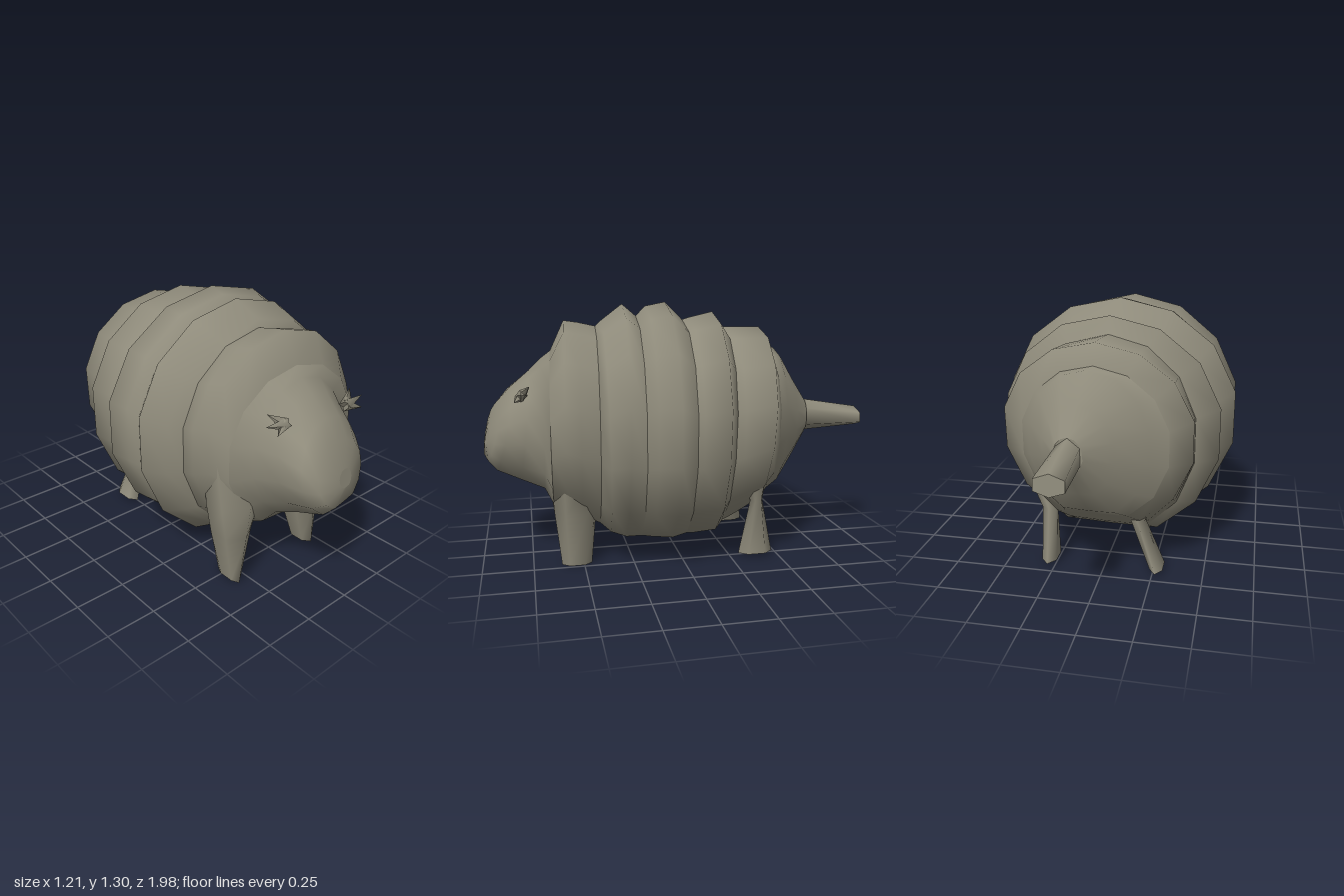
import * as THREE from 'three';

const hide = new THREE.MeshStandardMaterial({ color: 0x8f8b7b, side: THREE.DoubleSide });
hide.name = 'grey hide';

// Surface through a list of equally long rings of points; caps lists the ends to close (0 first, 1 last)
function loft(name, rings, caps = []) {
  const n = rings[0].length;
  const pos = [], index = [];
  const put = (p) => pos.push(p.x, p.y, p.z);
  rings.forEach((r) => r.forEach(put));
  for (let i = 0; i < rings.length - 1; i++) {
    for (let j = 0; j < n; j++) {
      const a = i * n + j, b = i * n + (j + 1) % n;
      index.push(a, a + n, b, b, a + n, b + n);
    }
  }
  // The caps have their own vertices so that their rims stay sharp
  caps.forEach((end) => {
    const r = end ? rings[rings.length - 1] : rings[0];
    const c = pos.length / 3;
    put(r.reduce((s, p) => s.add(p), new THREE.Vector3()).divideScalar(n));
    r.forEach(put);
    for (let j = 0; j < n; j++) {
      const a = c + 1 + j, b = c + 1 + (j + 1) % n;
      if (end) index.push(c, b, a);
      else index.push(c, a, b);
    }
  });
  const g = new THREE.BufferGeometry();
  g.setAttribute('position', new THREE.Float32BufferAttribute(pos, 3));
  g.setIndex(index);
  g.computeVertexNormals();
  const mesh = new THREE.Mesh(g, hide);
  mesh.name = name;
  return mesh;
}

// Upright ring with a flattened underside: z at top and bottom, x range, y range; skew slants it across x
function upright([zTop, zBot, x0, x1, y0, y1, skew = 0.06], sides = 14) {
  return Array.from({ length: sides }, (_, j) => {
    const a = (j + 0.5) / sides * Math.PI * 2;
    const s = Math.sin(a) < 0 ? Math.max(-1, Math.sin(a) * 1.1) : Math.sin(a);
    const x = (x0 + x1) / 2 + Math.cos(a) * (x1 - x0) / 2;
    const y = (y0 + y1) / 2 + s * (y1 - y0) / 2;
    return new THREE.Vector3(x, y, zBot + (zTop - zBot) * (s + 1) / 2 + skew * x);
  });
}

// Level ring for legs: y, x range, z range
function level([y, x0, x1, z0, z1], sides = 6) {
  return Array.from({ length: sides }, (_, j) => {
    const a = (j + 0.5) / sides * Math.PI * 2;
    return new THREE.Vector3(
      (x0 + x1) / 2 + Math.cos(a) * (x1 - x0) / 2, y,
      (z0 + z1) / 2 - Math.sin(a) * (z1 - z0) / 2);
  });
}

export function createModel() {
  const model = new THREE.Group();
  model.name = 'armouredAnimal';

  // Seams shared by neighbouring parts, front to back
  const seams = [
    [0.63, 0.63, -0.40, 0.38, 0.31, 1.07], [0.40, 0.40, -0.47, 0.42, 0.20, 1.19],
    [0.19, 0.19, -0.56, 0.51, 0.13, 1.24], [-0.05, -0.04, -0.52, 0.54, 0.14, 1.22],
    [-0.27, -0.24, -0.44, 0.44, 0.18, 1.18], [-0.50, -0.48, -0.34, 0.39, 0.34, 1.08],
  ];

  // Armour bands: each swells out between its two seams
  const swells = [
    [[0.56, 0.56, -0.46, 0.43, 0.28, 1.22], [0.49, 0.49, -0.49, 0.45, 0.25, 1.21]],
    [[0.37, 0.35, -0.53, 0.53, 0.17, 1.22], [0.26, 0.27, -0.61, 0.53, 0.13, 1.30]],
    [[0.14, 0.14, -0.59, 0.56, 0.13, 1.29], [0.04, 0.04, -0.62, 0.62, 0.13, 1.31]],
    [[-0.08, -0.07, -0.52, 0.55, 0.14, 1.23], [-0.21, -0.19, -0.56, 0.57, 0.15, 1.26]],
    [[-0.30, -0.29, -0.44, 0.46, 0.21, 1.18], [-0.46, -0.41, -0.45, 0.50, 0.29, 1.18]],
  ];
  swells.forEach((s, i) => model.add(
    loft('armourBand' + (i + 1), [seams[i], ...s, seams[i + 1]].map((r) => upright(r)))));

  // Rump tapering to the root of the tail
  model.add(loft('rump', [
    seams[5], [-0.54, -0.54, -0.25, 0.34, 0.38, 1.07],
    [-0.62, -0.62, -0.10, 0.25, 0.50, 0.93], [-0.70, -0.70, 0.03, 0.17, 0.63, 0.80],
  ].map((r) => upright(r)), [1]));

  // Tail
  model.add(loft('tail', [
    [-0.68, -0.68, 0.035, 0.165, 0.63, 0.80, 0],
    [-0.99, -1.0, 0.02, 0.18, 0.65, 0.75, 0],
  ].map((r) => upright(r, 6)), [1]));

  // Head swelling out of the first band, with a blunt snout turned to one side
  model.add(loft('head', [
    [0.945, 0.965, -0.07, 0.03, 0.60, 0.68, -0.17], [0.90, 0.965, -0.21, 0.15, 0.53, 0.80, -0.17],
    [0.83, 0.92, -0.25, 0.19, 0.48, 0.89, -0.12], [0.74, 0.80, -0.27, 0.22, 0.43, 0.97, -0.03],
    [0.68, 0.68, -0.32, 0.26, 0.38, 1.03, 0], seams[0],
  ].map((r) => upright(r)), [0]));

  // Front legs, tapering wedges out of the first band
  model.add(loft('rightFrontLeg', [
    [0.70, -0.44, -0.22, 0.44, 0.60], [0.45, -0.44, -0.14, 0.43, 0.65],
    [0.28, -0.40, -0.21, 0.43, 0.64], [0.01, -0.335, -0.295, 0.46, 0.61],
  ].map((r) => level(r)), [1]));
  model.add(loft('leftFrontLeg', [
    [0.70, 0.18, 0.40, 0.44, 0.60], [0.45, 0.05, 0.34, 0.43, 0.65],
    [0.28, 0.07, 0.27, 0.43, 0.64], [0.01, 0.17, 0.24, 0.46, 0.61],
  ].map((r) => level(r)), [1]));

  // Hind legs: wedge-shaped thigh, pinched ankle, flared foot
  model.add(loft('leftHindLeg', [
    [0.56, 0.28, 0.44, -0.42, -0.24], [0.31, 0.24, 0.32, -0.415, -0.35],
    [0.03, 0.24, 0.325, -0.47, -0.29],
  ].map((r) => level(r)), [1]));
  model.add(loft('rightHindLeg', [
    [0.54, -0.32, -0.14, -0.42, -0.24], [0.28, -0.21, -0.13, -0.415, -0.35],
    [0.03, -0.305, -0.23, -0.47, -0.29],
  ].map((r) => level(r)), [1]));

  // Ears: small spikes spreading from the sides of the head
  for (const [name, s, x, y, z] of [['leftEar', 1, 0.17, 0.87, 0.78], ['rightEar', -1, -0.21, 0.89, 0.76]]) {
    const ear = new THREE.Group();
    ear.name = name;
    for (const [tilt, turn, len] of [[-1.4, 0, 0.12], [-1.0, 0.5, 0.10], [-1.8, -0.4, 0.09]]) {
      const g = new THREE.ConeGeometry(0.03, len, 4).translate(0, len / 2, 0);
      const spike = new THREE.Mesh(g, hide);
      spike.name = 'earSpike';
      spike.rotation.set(0, s * turn, s * tilt, 'YXZ');
      ear.add(spike);
    }
    ear.position.set(x, y, z);
    model.add(ear);
  }
  return model;
}
